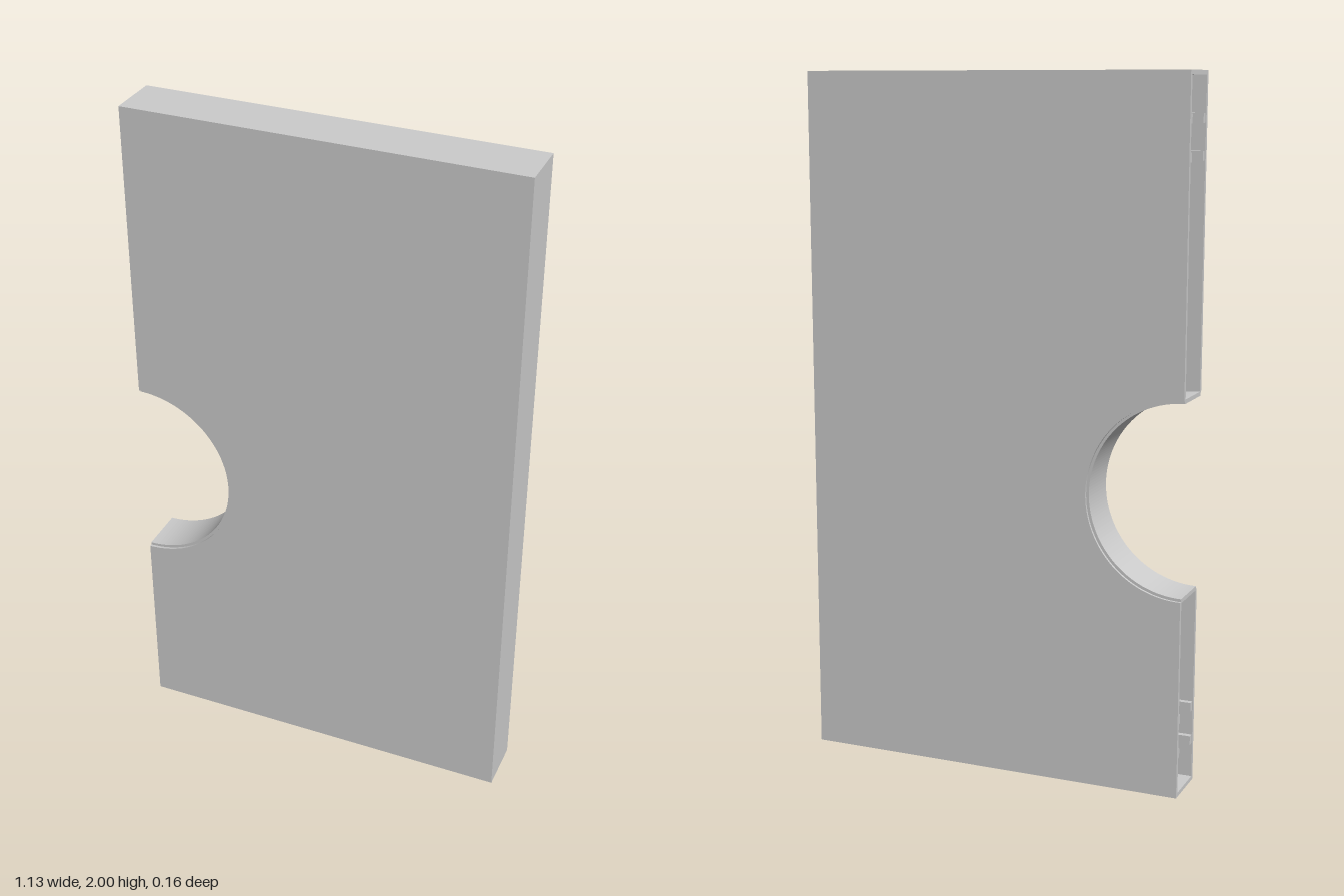
import * as THREE from 'three';

const W = 0.565, H = 2, D = 0.0775, T = 0.012; // half width, height, half depth, wall
const NOTCH_Y = 0.85, NOTCH_R = 0.28;

export function createModel() {
  const group = new THREE.Group();
  const material = new THREE.MeshStandardMaterial({ color: 0xcccccc });

  const add = (name, geometry, x = 0, y = 0, z = 0) => {
    const mesh = new THREE.Mesh(geometry, material);
    mesh.name = name;
    mesh.position.set(x, y, z);
    group.add(mesh);
  };
  const extrude = (shape, depth) =>
    new THREE.ExtrudeGeometry(shape, { depth, bevelEnabled: false, curveSegments: 48 });

  // Large faces with the half-round thumb notch
  const face = new THREE.Shape();
  face.moveTo(-W, 0);
  face.lineTo(W, 0);
  face.lineTo(W, H);
  face.lineTo(-W, H);
  face.lineTo(-W, NOTCH_Y + NOTCH_R);
  face.absarc(-W, NOTCH_Y, NOTCH_R, Math.PI / 2, -Math.PI / 2, true);
  face.closePath();
  add('frontFace', extrude(face, T), 0, 0, D - T);
  add('backFace', extrude(face, T), 0, 0, -D);

  // C-shaped frame: top, bottom and closed side; the other side stays open
  const frame = new THREE.Shape([
    [-W, 0], [W, 0], [W, H], [-W, H],
    [-W, H - T], [W - T, H - T], [W - T, T], [-W, T],
  ].map(([x, y]) => new THREE.Vector2(x, y)));
  add('edgeFrame', extrude(frame, 2 * (D - T)), 0, 0, -(D - T));

  // Curved wall lining the notch, slightly recessed from both faces
  const lining = new THREE.Shape();
  lining.absarc(-W, NOTCH_Y, NOTCH_R + 0.004, -Math.PI / 2, Math.PI / 2, false);
  lining.absarc(-W, NOTCH_Y, NOTCH_R - 0.008, Math.PI / 2, -Math.PI / 2, true);
  lining.closePath();
  const liningHalf = D - 0.008;
  add('notchLining', extrude(lining, 2 * liningHalf), 0, 0, -liningHalf);

  // Pairs of guide rails inside both faces, near the top and bottom
  const railDepth = 0.018;
  const rail = new THREE.BoxGeometry(2 * W - T - 0.004, 0.026, railDepth);
  for (const side of [1, -1]) {
    for (const y of [0.125, 0.225, H - 0.225, H - 0.125]) {
      add('guideRail', rail, -T / 2, y, side * (D - T - railDepth / 2 + 0.002));
    }
  }
  return group;
}
